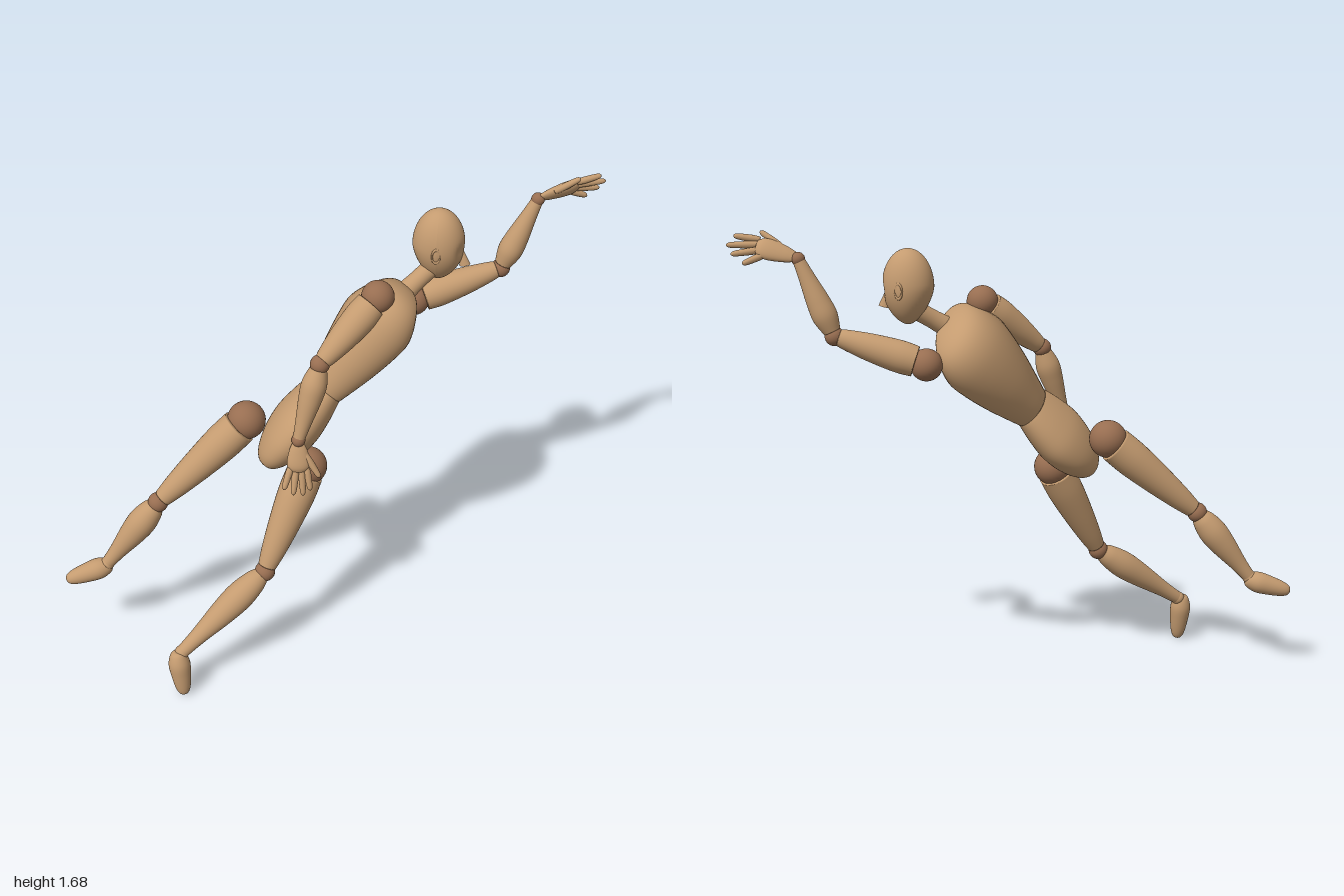
import * as THREE from 'three';

const V = (a) => new THREE.Vector3(...a);
const wood = new THREE.MeshStandardMaterial({ color: 0xc49b70 });
wood.name = 'light wood';
const dark = new THREE.MeshStandardMaterial({ color: 0x986e51 });
dark.name = 'dark joint wood';

function mesh(parent, name, geometry, material = wood) {
  const m = new THREE.Mesh(geometry, material);
  m.name = name;
  parent.add(m);
  return m;
}

// Turned solid from [height, radius] points, closed at both ends
function turned(profile, segments = 32) {
  const curve = new THREE.SplineCurve(profile.map(([h, r]) => new THREE.Vector2(r, h)));
  const pts = curve.getPoints(36).map((p) => new THREE.Vector2(Math.max(p.x, 0), p.y));
  pts.unshift(new THREE.Vector2(0, profile[0][0]));
  pts.push(new THREE.Vector2(0, profile[profile.length - 1][0]));
  return new THREE.LatheGeometry(pts, segments);
}

// Turned piece running from a to b; heights are fractions of the distance
function limb(parent, name, a, b, profile, segments) {
  const dir = V(b).sub(V(a));
  const len = dir.length();
  const m = mesh(parent, name, turned(profile.map(([t, r]) => [t * len, r]), segments));
  m.position.copy(V(a));
  m.quaternion.setFromUnitVectors(new THREE.Vector3(0, 1, 0), dir.normalize());
  return m;
}

function ball(parent, name, p, r, material = dark) {
  const m = mesh(parent, name, new THREE.SphereGeometry(r, 32, 20), material);
  m.position.copy(V(p));
  return m;
}

// Rotation whose x is the given side and whose y is up
function frame(object, side, up) {
  const y = V(up).normalize();
  const x = V(side);
  x.addScaledVector(y, -x.dot(y)).normalize();
  const z = new THREE.Vector3().crossVectors(x, y);
  object.quaternion.setFromRotationMatrix(new THREE.Matrix4().makeBasis(x, y, z));
}

const UPPER_ARM = [[0.12, 0.054], [0.3, 0.057], [0.6, 0.049], [0.85, 0.037], [0.95, 0.03]];
const FOREARM = [[0.06, 0.03], [0.25, 0.044], [0.45, 0.041], [0.75, 0.029], [0.98, 0.021]];
const THIGH = [[0.08, 0.067], [0.28, 0.067], [0.55, 0.057], [0.8, 0.044], [0.95, 0.033]];
const CALF = [[0.04, 0.03], [0.13, 0.043], [0.3, 0.052], [0.5, 0.047], [0.8, 0.031], [1, 0.024]];
const FOOT = [[-0.06, 0.012], [0, 0.027], [0.22, 0.039], [0.5, 0.036], [0.8, 0.028], [0.95, 0.018], [1, 0.004]];
const FINGER = [[-0.1, 0.01], [0.2, 0.0125], [0.6, 0.0115], [0.9, 0.009], [1, 0.003]];

function hand(parent, side, wrist, knuckles, tips, thumb) {
  const g = new THREE.Group();
  g.name = side + 'Hand';
  parent.add(g);
  const w = V(wrist);
  const first = V(knuckles[0]), last = V(knuckles[1]);
  const mid = first.clone().lerp(last, 0.5);
  // Palm, flattened across its thickness
  const up = mid.clone().sub(w);
  const len = up.length();
  const palm = mesh(g, side + 'Palm', turned([[0, 0.018], [len * 0.3, 0.031],
    [len * 0.7, 0.04], [len * 0.95, 0.038], [len * 1.12, 0.024]]));
  palm.position.copy(w);
  frame(palm, first.clone().sub(last).toArray(), up.toArray());
  palm.scale.z = 0.52;
  tips.forEach((tip, i) => {
    const k = first.clone().lerp(last, i / 3);
    limb(g, side + 'Finger' + (i + 1), k.toArray(), tip, FINGER, 12);
  });
  limb(g, side + 'Thumb', thumb[0], thumb[1], FINGER, 12);
}

function arm(parent, side, shoulder, elbow, wrist) {
  const g = new THREE.Group();
  g.name = side + 'Arm';
  parent.add(g);
  ball(g, side + 'Shoulder', shoulder, 0.057);
  limb(g, side + 'UpperArm', shoulder, elbow, UPPER_ARM);
  ball(g, side + 'Elbow', elbow, 0.034);
  limb(g, side + 'Forearm', elbow, wrist, FOREARM);
  ball(g, side + 'Wrist', wrist, 0.024);
}

function leg(parent, side, hip, knee, ankle, heel, toe) {
  const g = new THREE.Group();
  g.name = side + 'Leg';
  parent.add(g);
  ball(g, side + 'Hip', hip, 0.069);
  limb(g, side + 'Thigh', hip, knee, THIGH);
  ball(g, side + 'Knee', knee, 0.037);
  limb(g, side + 'Calf', knee, ankle, CALF);
  ball(g, side + 'Ankle', ankle, 0.026, wood);
  limb(g, side + 'Foot', heel, toe, FOOT);
}

function head(parent) {
  const g = new THREE.Group();
  g.name = 'head';
  g.position.set(0.393, 1.488, 0.032);
  g.rotation.y = THREE.MathUtils.degToRad(52);
  parent.add(g);
  // Egg with a narrow jaw, a flattened face and shallow eye sockets
  const geo = new THREE.SphereGeometry(1, 48, 36);
  const p = geo.attributes.position;
  for (let i = 0; i < p.count; i++) {
    const x = p.getX(i), y = p.getY(i), z = p.getZ(i);
    const taper = y < 0 ? 1 - 0.18 * y * y : 1;
    let depth = z * 0.092 * taper;
    if (z > 0) {
      for (const s of [-1, 1]) {
        const d = ((x - s * 0.38) / 0.26) ** 2 + ((y + 0.08) / 0.2) ** 2;
        depth -= 0.011 * Math.exp(-d);
      }
    } else if (y < 0) depth *= 1 + 0.2 * y;
    p.setXYZ(i, x * 0.084 * taper, y * 0.132, depth);
  }
  geo.computeVertexNormals();
  mesh(g, 'skull', geo);
  // Nose wedge
  const nose = mesh(g, 'nose', new THREE.ConeGeometry(0.018, 0.075, 16));
  nose.position.set(0, -0.038, 0.086);
  nose.rotation.x = -0.22;
  nose.scale.set(0.8, 1, 1.1);
  // Ears: thin rim around a shallow disc
  for (const s of [-1, 1]) {
    const ear = new THREE.Group();
    ear.name = s > 0 ? 'leftEar' : 'rightEar';
    ear.position.set(s * 0.081, -0.008, 0);
    ear.rotation.set(0, s * 1.45, 0);
    ear.scale.set(0.65, 1.2, 0.8);
    mesh(ear, 'earRim', new THREE.TorusGeometry(0.021, 0.005, 10, 28));
    mesh(ear, 'earBowl', new THREE.SphereGeometry(0.02, 20, 12)).scale.z = 0.25;
    g.add(ear);
  }
}

export function createModel() {
  const model = new THREE.Group();
  model.name = 'jointedFigure';
  const waist = [-0.06, 1.03, 0.038];
  const spine = [0.7, 0.713, 0];
  const across = [0.24, -0.46, -0.87];

  // Chest, thinning from front to back towards the shoulders
  const chestShape = turned([[0, 0.11], [0.05, 0.132], [0.15, 0.172], [0.25, 0.201],
    [0.33, 0.211], [0.39, 0.197], [0.43, 0.158], [0.455, 0.09], [0.462, 0.01]], 48);
  const p = chestShape.attributes.position;
  for (let i = 0; i < p.count; i++) {
    p.setZ(i, p.getZ(i) * (0.62 - 0.2 * THREE.MathUtils.smoothstep(p.getY(i), 0.28, 0.45)));
  }
  const chest = mesh(model, 'chest', chestShape);
  chest.position.copy(V(waist));
  frame(chest, across, spine);

  const pelvis = mesh(model, 'pelvis', turned([[-0.35, 0.01], [-0.34, 0.055], [-0.305, 0.098],
    [-0.24, 0.136], [-0.16, 0.153], [-0.08, 0.141], [0, 0.114], [0.012, 0.1]], 48));
  pelvis.position.copy(V(waist));
  frame(pelvis, across, spine);
  pelvis.scale.z = 0.58;

  limb(model, 'neck', [0.24, 1.33, 0.045], [0.375, 1.41, 0.035], [[0, 0.038], [0.5, 0.033], [1, 0.034]]);
  head(model);

  // Left arm reaches ahead, right arm trails
  arm(model, 'left', [0.355, 1.225, -0.06], [0.655, 1.325, 0.04], [0.765, 1.59, 0.08]);
  hand(model, 'left', [0.77, 1.595, 0.082], [[0.89, 1.655, 0.14], [0.88, 1.605, 0.1]],
    [[0.97, 1.668, 0.158], [0.998, 1.638, 0.15], [0.985, 1.608, 0.135], [0.95, 1.576, 0.115]],
    [[0.815, 1.63, 0.12], [0.878, 1.68, 0.163]]);
  arm(model, 'right', [0.095, 1.41, 0.133], [-0.14, 1.225, 0.158], [-0.237, 0.955, 0.18]);
  hand(model, 'right', [-0.24, 0.95, 0.182], [[-0.225, 0.85, 0.217], [-0.275, 0.86, 0.193]],
    [[-0.225, 0.775, 0.242], [-0.25, 0.757, 0.236], [-0.283, 0.763, 0.225], [-0.313, 0.788, 0.212]],
    [[-0.222, 0.9, 0.207], [-0.19, 0.822, 0.247]]);

  leg(model, 'left', [-0.32, 0.915, -0.065], [-0.655, 0.625, -0.125], [-0.85, 0.372, -0.182],
    [-0.845, 0.362, -0.182], [-0.998, 0.315, -0.23]);
  leg(model, 'right', [-0.17, 0.78, 0.117], [-0.38, 0.417, 0.178], [-0.725, 0.18, 0.188],
    [-0.742, 0.18, 0.19], [-0.738, 0.002, 0.215]);
  return model;
}
